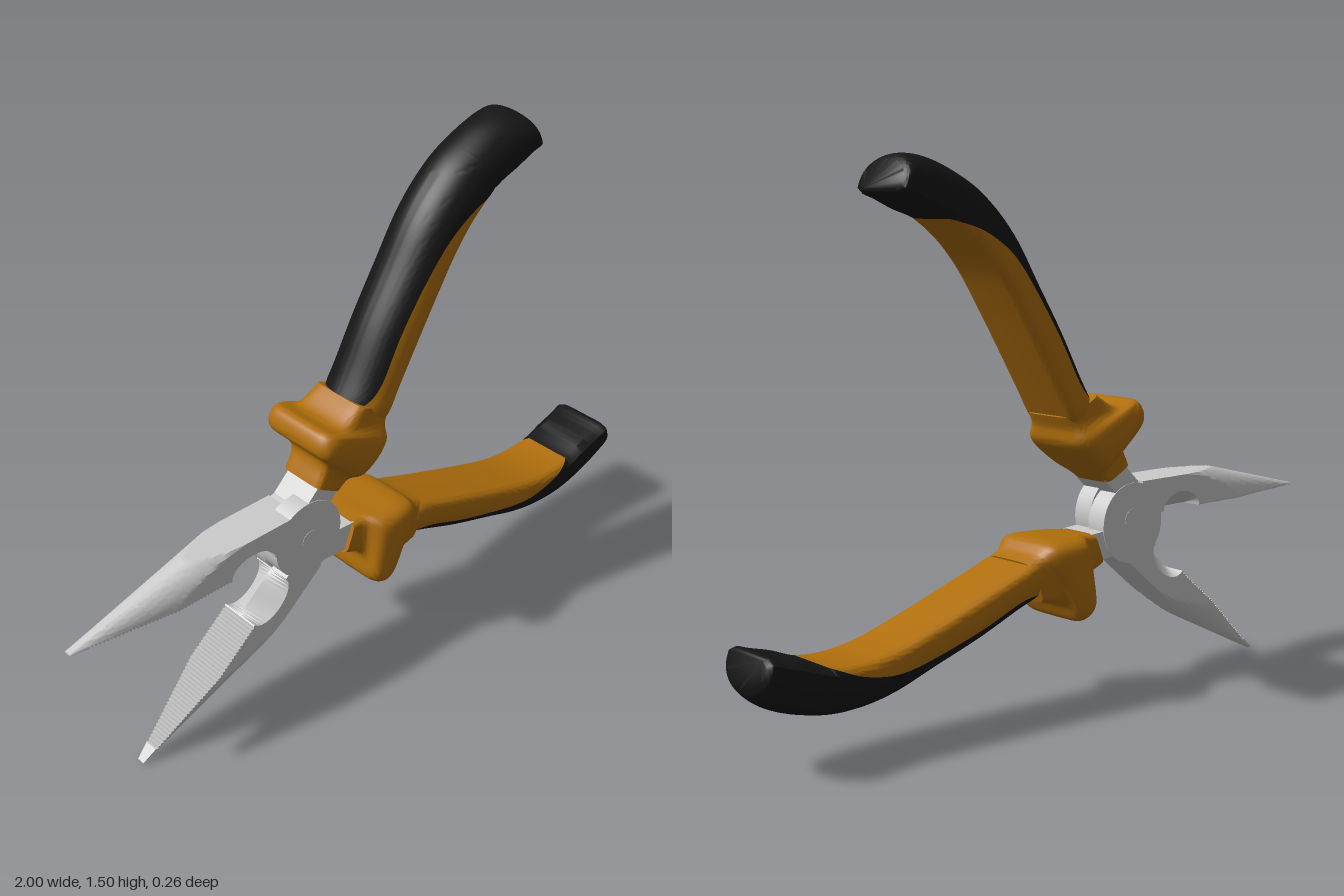
import * as THREE from 'three';
import { toCreasedNormals } from 'three/addons/utils/BufferGeometryUtils.js';

const PIVOT = [-0.25, 0.487];
const steel = new THREE.MeshStandardMaterial({ color: 0xcccccc });
const orange = new THREE.MeshStandardMaterial({ color: 0xb06f0c });
const black = new THREE.MeshStandardMaterial({ color: 0x151515 });

// Skin over rows of cross-section points; rows advance towards +x
function loft(rows, { closed = false, caps = false, crease = 0.6 } = {}) {
  const n = rows[0].length, last = (rows.length - 1) * n, index = [];
  for (let i = 0; i < rows.length - 1; i++) {
    for (let j = 0; j < (closed ? n : n - 1); j++) {
      const a = i * n + j, b = i * n + (j + 1) % n;
      index.push(a, a + n, b, b, a + n, b + n);
    }
  }
  if (caps) {
    for (let j = 1; j < n - 1; j++) {
      index.push(0, j, j + 1, last, last + j + 1, last + j);
    }
  }
  const geo = new THREE.BufferGeometry();
  geo.setAttribute('position', new THREE.Float32BufferAttribute(rows.flat(2), 3));
  geo.setIndex(index);
  return toCreasedNormals(geo, crease);
}

const curve = (pts) => new THREE.CatmullRomCurve3(pts.map((p) => new THREE.Vector3(...p)));

function add(group, name, geo, material) {
  const mesh = new THREE.Mesh(geo, material);
  mesh.name = name;
  group.add(mesh);
  return mesh;
}

// Jaw: a widening cone clipped by a flat bar, with teeth and a cutter notch below
function jawGeometry() {
  const xs = [-1, -0.97];
  for (let i = 0; i <= 80; i++) xs.push(-0.95 + 0.42 * i / 80);
  for (let i = 0; i <= 16; i++) xs.push(-0.45 - 0.075 * Math.cos(i / 16 * Math.PI));
  xs.push(-0.34, -0.29);
  const rows = xs.map((x, k) => {
    const A = 0.012 + 0.165 * (x + 1), B = 0.006 + 0.25 * (x + 1);
    const tooth = k > 1 && k < 82 && k % 2 ? 0.006 : 0;
    const d = (x + 0.45) / 0.075;
    const notch = 0.05 * Math.sqrt(Math.max(0, 1 - d * d));
    const row = [];
    for (let j = 0; j <= 28; j++) {
      const a = j / 28 * Math.PI;
      const z = THREE.MathUtils.clamp(A * Math.cos(a), -0.062, 0.062);
      const y = THREE.MathUtils.clamp(B * Math.sin(a), Math.min(notch + tooth, 0.098), 0.098);
      row.push([x, 0.493 + y, z]);
    }
    row.push([x, 0.493 + tooth, 0]);
    return row;
  });
  return loft(rows, { closed: true, caps: true, crease: 0.4 });
}

// Collar: rounded-box sections between a top rail and a bottom rail (z = half width)
function collarGeometry() {
  const top = curve([[-0.095, 0.465, 0.073], [-0.06, 0.468, 0.078], [-0.02, 0.468, 0.122],
    [0.09, 0.466, 0.125], [0.125, 0.438, 0.103], [0.16, 0.422, 0.092]]);
  const bottom = curve([[-0.13, 0.375, 0], [-0.065, 0.338, 0], [-0.06, 0.26, 0],
    [-0.01, 0.235, 0], [0.03, 0.288, 0], [0.11, 0.305, 0]]);
  const soft = (v) => Math.sign(v) * Math.abs(v) ** 0.35;
  const rows = [];
  for (let i = 0; i <= 30; i++) {
    const p = top.getPoint(i / 30), q = bottom.getPoint(i / 30), row = [];
    for (let j = 0; j < 40; j++) {
      const a = j / 40 * Math.PI * 2, t = 0.5 + 0.5 * soft(Math.sin(a));
      row.push([q.x + (p.x - q.x) * t, q.y + (p.y - q.y) * t, p.z * soft(Math.cos(a))]);
    }
    rows.push(row);
  }
  return loft(rows, { closed: true, caps: true, crease: 0.7 });
}

// Half width of the grip at height t: round below, small corner radius above
function gripWidth(t, W) {
  if (t < 0.65) return W * Math.sqrt(Math.max(0, 1 - (1 - t / 0.65) ** 2));
  const c = Math.max(0, (t - 0.82) / 0.18);
  return W - 0.025 * (1 - Math.sqrt(Math.max(0, 1 - c * c)));
}

function addGrip(group) {
  // Top rail carries the half width in z, bottom rail the colour boundary height
  const top = curve([[0.12, 0.43, 0.088], [0.15, 0.42, 0.1], [0.22, 0.395, 0.1], [0.35, 0.35, 0.1],
    [0.49, 0.303, 0.1], [0.61, 0.268, 0.1], [0.71, 0.255, 0.1], [0.8, 0.262, 0.1],
    [0.87, 0.288, 0.1], [0.93, 0.305, 0.1], [0.965, 0.316, 0.1], [0.976, 0.311, 0.086]]);
  const bottom = curve([[0.075, 0.315, 0], [0.11, 0.305, 0.22], [0.18, 0.28, 0.38], [0.3, 0.232, 0.38],
    [0.45, 0.183, 0.43], [0.58, 0.14, 0.56], [0.7, 0.122, 0.78], [0.81, 0.13, 1],
    [0.9, 0.155, 1], [0.96, 0.185, 1], [0.993, 0.215, 1], [1, 0.235, 1]]);
  const upper = [], lower = [], tail = [];
  const split = 56, total = 88;
  for (let i = 0; i <= total; i++) {
    const p = top.getPoint(i / total), q = bottom.getPoint(i / total);
    const tb = i >= split ? 1 : THREE.MathUtils.clamp(q.z, 0, 1);
    const at = (t, side) => [q.x + (p.x - q.x) * t, q.y + (p.y - q.y) * t, side * gripWidth(t, p.z)];
    const under = [], over = [];
    for (let j = -16; j <= 16; j++) under.push(at(tb * (j / 16) ** 2, Math.sign(j)));
    for (let j = 0; j <= 10; j++) over.push(at(tb + (1 - tb) * Math.sin(j / 20 * Math.PI), 1));
    for (const [x, y, z] of [...over].reverse()) over.push([x, y, -z]);
    if (i <= split) { lower.push(under); upper.push(over); }
    if (i >= split) tail.push(under);
  }
  add(group, 'gripInner', loft(upper), orange);
  add(group, 'gripOuter', loft(lower), black);
  add(group, 'gripEnd', loft(tail, { closed: true, caps: true }), black);
}

// One lever: jaw, half-lap joint, shank, collar and grip
function createLever(name) {
  const lever = new THREE.Group();
  lever.name = name;
  const parts = new THREE.Group();
  parts.position.set(-PIVOT[0], -PIVOT[1], 0);
  lever.add(parts);

  add(parts, 'jaw', jawGeometry(), steel);

  const joint = add(parts, 'joint', new THREE.CylinderGeometry(0.115, 0.115, 0.062, 64), steel);
  joint.rotation.x = Math.PI / 2;
  joint.position.set(PIVOT[0], PIVOT[1] - 0.011, -0.031);

  const outline = [[-0.2, 0.47], [-0.2, 0.392], [-0.1, 0.385], [-0.07, 0.462]];
  const shank = new THREE.ExtrudeGeometry(
    new THREE.Shape(outline.map((p) => new THREE.Vector2(...p))), { depth: 0.12, bevelEnabled: false });
  add(parts, 'shank', shank.translate(0, 0, -0.06), steel);

  add(parts, 'collar', collarGeometry(), orange);
  addGrip(parts);
  return lever;
}

export function createModel() {
  const model = new THREE.Group();
  model.name = 'pliers';
  const first = createLever('upperJawLever');
  const second = createLever('lowerJawLever');
  // The second lever is the first flipped over and swung open about the pivot
  second.rotation.order = 'ZYX';
  second.rotation.set(Math.PI, 0, THREE.MathUtils.degToRad(40));
  for (const lever of [first, second]) {
    lever.position.set(PIVOT[0], PIVOT[1], 0);
    model.add(lever);
  }
  // Rivet through the joint
  const rivet = add(model, 'rivet', new THREE.CylinderGeometry(0.03, 0.03, 0.126, 32), steel);
  rivet.rotation.x = Math.PI / 2;
  rivet.position.set(PIVOT[0], PIVOT[1], 0);
  return model;
}
